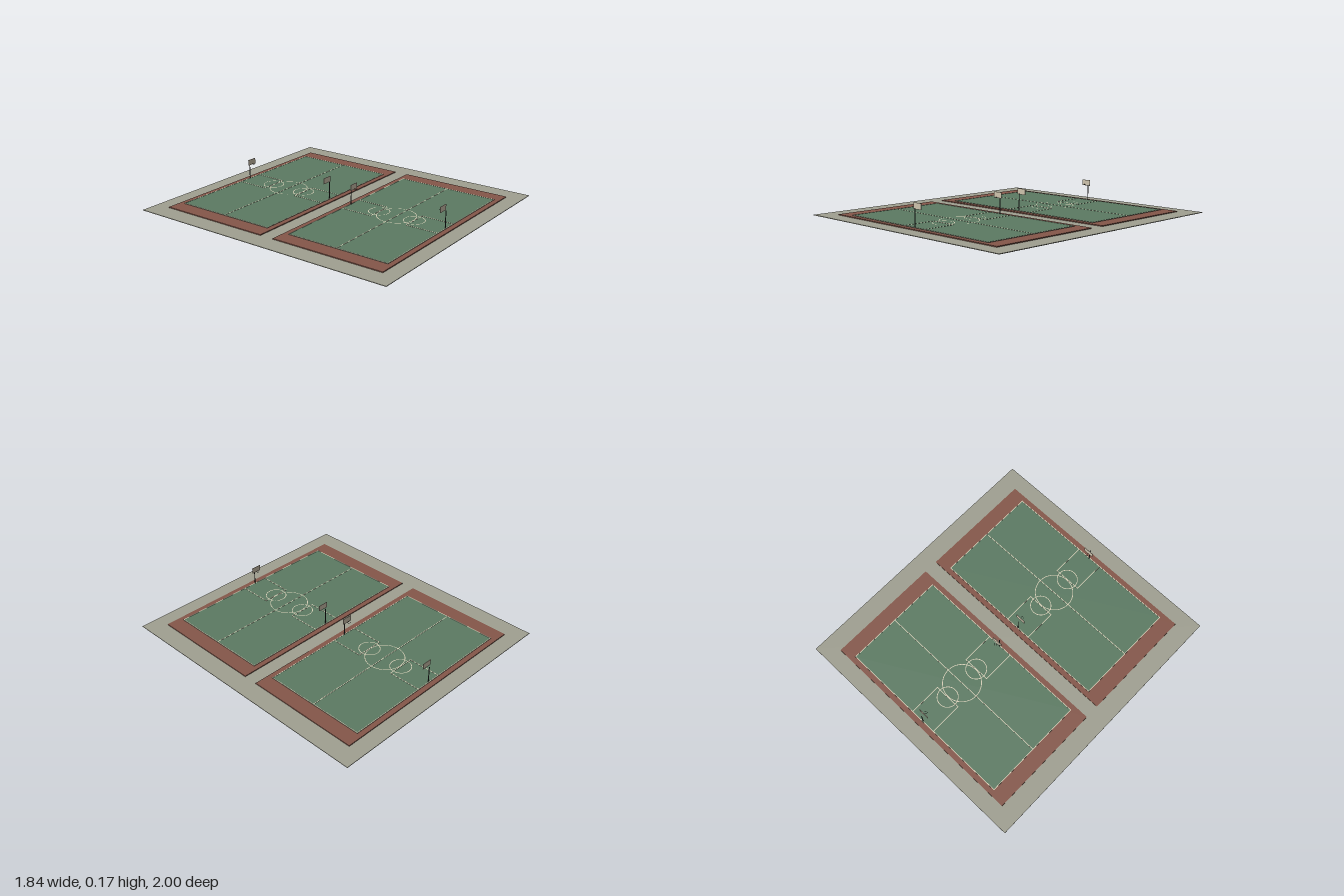
import * as THREE from 'three';

const mat = (color, side = THREE.FrontSide) => new THREE.MeshStandardMaterial({ color, side });
const paving = mat(0xa0a091);
const border = mat(0x85574a);
const green = mat(0x5c7b63);
const paint = mat(0xd8d0b8, THREE.DoubleSide);
const steel = mat(0x3c3c3c);
const boardMat = mat(0xcfc4ae);

const LINE = 0.005;      // painted line width
const TOP = 0.0125;      // height of the playing surface
const HALF_X = 0.675, HALF_Z = 0.38;

function add(parent, name, geometry, material, x, y, z) {
  const mesh = new THREE.Mesh(geometry, material);
  mesh.name = name;
  mesh.position.set(x, y, z);
  parent.add(mesh);
  return mesh;
}

// Box given by its bottom height
function slab(parent, name, w, h, d, material, x, y, z) {
  return add(parent, name, new THREE.BoxGeometry(w, h, d), material, x, y + h / 2, z);
}

function line(parent, name, w, d, x, z) {
  return slab(parent, name, w, 0.0012, d, paint, x, TOP, z);
}

function circle(parent, name, radius, z) {
  const geometry = new THREE.RingGeometry(radius - LINE / 2, radius + LINE / 2, 48);
  geometry.rotateX(-Math.PI / 2);
  return add(parent, name, geometry, paint, 0, TOP + 0.0012, z);
}

// Post, backboard and rim at the +z end of a court
function createHoop() {
  const hoop = new THREE.Group();
  hoop.name = 'hoop';
  add(hoop, 'post', new THREE.CylinderGeometry(0.003, 0.003, 0.126, 10), steel, 0, 0.073, 0.375);
  slab(hoop, 'backboard', 0.074, 0.042, 0.003, boardMat, 0, 0.125, 0.353);
  const rim = add(hoop, 'rim', new THREE.TorusGeometry(0.009, 0.001, 6, 20), steel, 0, 0.133, 0.335);
  rim.rotation.x = Math.PI / 2;
  return hoop;
}

// Key markings and hoop at the +z end of a court
function createCourtEnd() {
  const end = new THREE.Group();
  end.name = 'courtEnd';
  const keyZ = 0.14;
  line(end, 'endLine', HALF_X * 2, LINE, 0, HALF_Z - LINE / 2);
  line(end, 'freeThrowLine', 0.2 + LINE, LINE, 0, keyZ);
  for (const s of [-1, 1])
    line(end, 'keySideLine', LINE, HALF_Z - keyZ, s * 0.1, (HALF_Z + keyZ) / 2);
  circle(end, 'freeThrowCircle', 0.073, keyZ);
  end.add(createHoop());
  return end;
}

function createCourt() {
  const court = new THREE.Group();
  court.name = 'court';
  slab(court, 'courtBorder', 1.57, 0.006, 0.835, border, 0, 0.004, 0);
  slab(court, 'playingSurface', HALF_X * 2, TOP - 0.01, HALF_Z * 2, green, 0, 0.01, 0);
  line(court, 'halfwayLine', HALF_X * 2, LINE, 0, 0);
  circle(court, 'centreCircle', 0.135, 0);
  for (const s of [-1, 1]) {
    line(court, 'sideLine', LINE, HALF_Z * 2, s * (HALF_X - LINE / 2), 0);
    const end = createCourtEnd();
    if (s < 0) end.rotation.y = Math.PI;
    court.add(end);
  }
  return court;
}

export function createModel() {
  const model = new THREE.Group();
  model.name = 'basketballCourts';
  slab(model, 'pavedGround', 1.84, 0.004, 2, paving, 0, 0, 0);
  for (const s of [-1, 1]) {
    const court = createCourt();
    court.position.z = s * 0.469;
    model.add(court);
  }
  return model;
}
